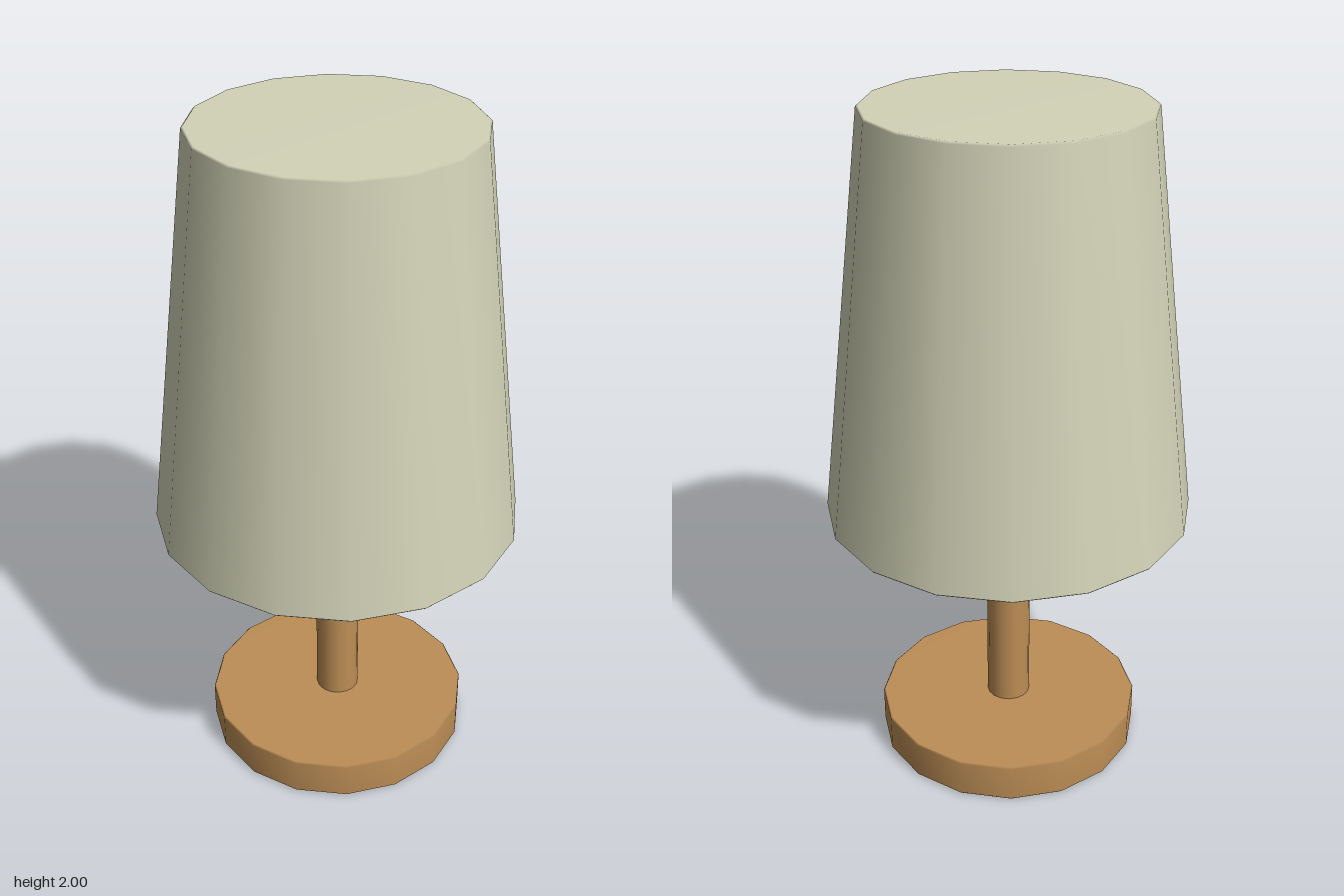
import * as THREE from 'three';

const SIDES = 16;
const BEVEL = 0.005;

// Turned solid: the profile runs from the axis out along the underside and up to the axis again.
// Each corner gets a small soft bevel.
function turned(...profile) {
  const points = profile.map(([r, y]) => new THREE.Vector2(r, y));
  const softened = points.flatMap((p, i) => {
    if (i === 0 || i === points.length - 1) return [p];
    return [points[i - 1], points[i + 1]].map((q) => p.clone().lerp(q, BEVEL / p.distanceTo(q)));
  });
  return new THREE.LatheGeometry(softened, SIDES);
}

export function createModel() {
  const wood = new THREE.MeshStandardMaterial({ color: 0xbd8e56 });
  wood.name = 'warm wood';
  const fabric = new THREE.MeshStandardMaterial({ color: 0xd3d3b8 });
  fabric.name = 'cream fabric';

  const lamp = new THREE.Group();
  lamp.name = 'tableLamp';

  const add = (name, geometry, material) => {
    const mesh = new THREE.Mesh(geometry, material);
    mesh.name = name;
    lamp.add(mesh);
  };

  // Round foot and straight stem
  add('base', turned([0, 0], [0.4, 0], [0.4, 0.12], [0, 0.12]), wood);
  add('stem', turned([0, 0.11], [0.066, 0.11], [0.066, 1.98], [0, 1.98]), wood);

  // Tapered hollow shade: ceiling, lining, lower rim, outer wall, closed top
  add('shade', turned([0, 1.975], [0.377, 1.975], [0.516, 0.8], [0.542, 0.8], [0.4, 2], [0, 2]), fabric);

  return lamp;
}
